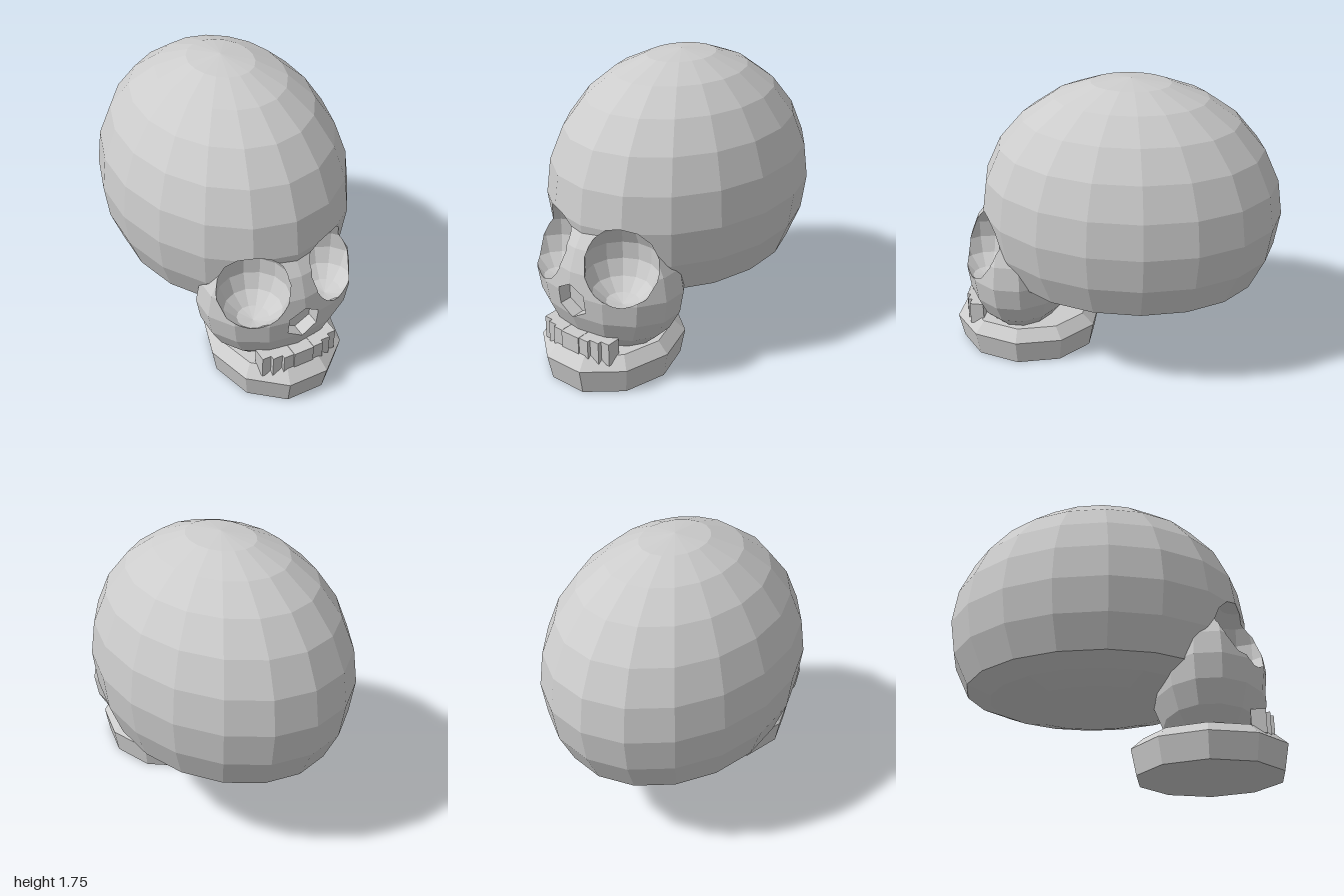
import * as THREE from 'three';

const bone = new THREE.MeshStandardMaterial({ color: 0xcccccc });
bone.name = 'bone grey';

// Faceted mesh from any geometry
function part(name, geometry) {
  const g = geometry.index ? geometry.toNonIndexed() : geometry;
  g.computeVertexNormals();
  const mesh = new THREE.Mesh(g, bone);
  mesh.name = name;
  return mesh;
}

// Triangles of a geometry as lists of corners
function polygons(geometry) {
  const p = geometry.toNonIndexed().attributes.position;
  const out = [];
  for (let i = 0; i < p.count; i += 3) {
    out.push([0, 1, 2].map(k => new THREE.Vector3().fromBufferAttribute(p, i + k)));
  }
  return out;
}

// Distinct outward planes of a convex solid
function planesOf(polys) {
  const planes = [];
  for (const t of polys) {
    const pl = new THREE.Plane().setFromCoplanarPoints(...t);
    if (!planes.some(q => q.normal.dot(pl.normal) > 0.99999 && Math.abs(q.constant - pl.constant) < 1e-4)) planes.push(pl);
  }
  return planes;
}

// Split a polygon into the pieces in front of and behind a plane
function split(poly, plane) {
  const front = [], back = [];
  poly.forEach((a, i) => {
    const b = poly[(i + 1) % poly.length];
    const da = plane.distanceToPoint(a), db = plane.distanceToPoint(b);
    if (da >= -1e-6) front.push(a);
    if (da <= 1e-6) back.push(a);
    if ((da > 1e-6 && db < -1e-6) || (da < -1e-6 && db > 1e-6)) {
      const c = a.clone().lerp(b, da / (da - db));
      front.push(c);
      back.push(c);
    }
  });
  return [front, back];
}

// Keep what lies inside, or outside, a convex solid
function carve(polys, planes, keepInside) {
  const result = [];
  for (const poly of polys) {
    let rest = poly;
    const outside = [];
    for (const plane of planes) {
      const [front, back] = split(rest, plane);
      const crosses = plane && rest.some(v => plane.distanceToPoint(v) > 1e-6);
      if (crosses && front.length > 2) outside.push(front);
      if (crosses) rest = back;
      if (rest.length < 3) break;
    }
    const hasInside = rest.length > 2;
    if (keepInside) {
      if (hasInside) result.push(rest);
    } else if (hasInside) {
      result.push(...outside);
    } else {
      result.push(poly);
    }
  }
  return result;
}

function geometryFrom(polys, inward = false) {
  const pts = [];
  for (const p of polys) {
    for (let i = 1; i < p.length - 1; i++) {
      pts.push(...(inward ? [p[0], p[i + 1], p[i]] : [p[0], p[i], p[i + 1]]));
    }
  }
  return new THREE.BufferGeometry().setFromPoints(pts);
}

export function createModel() {
  const skull = new THREE.Group();
  skull.name = 'skull';

  // Cranium: ellipsoid with its underside pressed flat
  const craniumGeo = new THREE.SphereGeometry(1, 18, 12).rotateY(Math.PI / 2)
    .scale(0.72, 0.8, 0.905).translate(0, 0.955, -0.095);
  const pos = craniumGeo.attributes.position;
  const base = 0.555;
  for (let i = 0; i < pos.count; i++) {
    const y = pos.getY(i);
    if (y < base) pos.setY(i, base + (y - base) * 0.36);
  }
  let cranium = polygons(craniumGeo);

  // Face: smaller ellipsoid under the brow
  let face = polygons(new THREE.SphereGeometry(1, 14, 10).rotateY(Math.PI / 2)
    .scale(0.4875, 0.45, 0.345).translate(0, 0.57, 0.578));

  const craniumPlanes = planesOf(cranium);
  const facePlanes = planesOf(face);

  // Hollows: two eye sockets and a hexagonal nose opening
  const socket = side => new THREE.SphereGeometry(1, 14, 7)
    .scale(0.215, 0.23, 0.21).translate(side * 0.24, 0.75, 0.75);
  const hollows = {
    leftEyeSocket: socket(1),
    rightEyeSocket: socket(-1),
    noseOpening: new THREE.CylinderGeometry(0.108, 0.108, 0.2, 6)
      .rotateX(Math.PI / 2).translate(0, 0.528, 0.92),
  };
  for (const [name, geo] of Object.entries(hollows)) {
    const wall = polygons(geo);
    const planes = planesOf(wall);
    cranium = carve(cranium, planes, false);
    face = carve(face, planes, false);
    const lining = [
      ...carve(wall, facePlanes, true),
      ...carve(carve(wall, facePlanes, false), craniumPlanes, true),
    ];
    skull.add(part(name, geometryFrom(lining, true)));
  }
  skull.add(part('cranium', geometryFrom(cranium)));
  skull.add(part('face', geometryFrom(face)));

  // Jaw: ten-sided block with a chamfered top
  const profile = [[0, 0], [0.378, 0], [0.405, 0.153], [0.34, 0.22], [0, 0.22]]
    .map(([r, y]) => new THREE.Vector2(r, y));
  skull.add(part('jaw', new THREE.LatheGeometry(profile, 10, Math.PI / 10)
    .scale(1, 1, 1.142).translate(0, 0, 0.56)));

  // Teeth: mirrored row along a shallow arc
  const teeth = new THREE.Group();
  teeth.name = 'teeth';
  const row = [[0.032, 0.935], [0.098, 0.93], [0.158, 0.908], [0.213, 0.882]];
  for (const side of [-1, 1]) {
    for (const [x, front] of row) {
      const tooth = part('tooth', new THREE.BoxGeometry(0.064, 0.14, 0.085));
      tooth.position.set(side * x, 0.25, front - 0.0425);
      teeth.add(tooth);
    }
  }
  skull.add(teeth);

  return skull;
}
